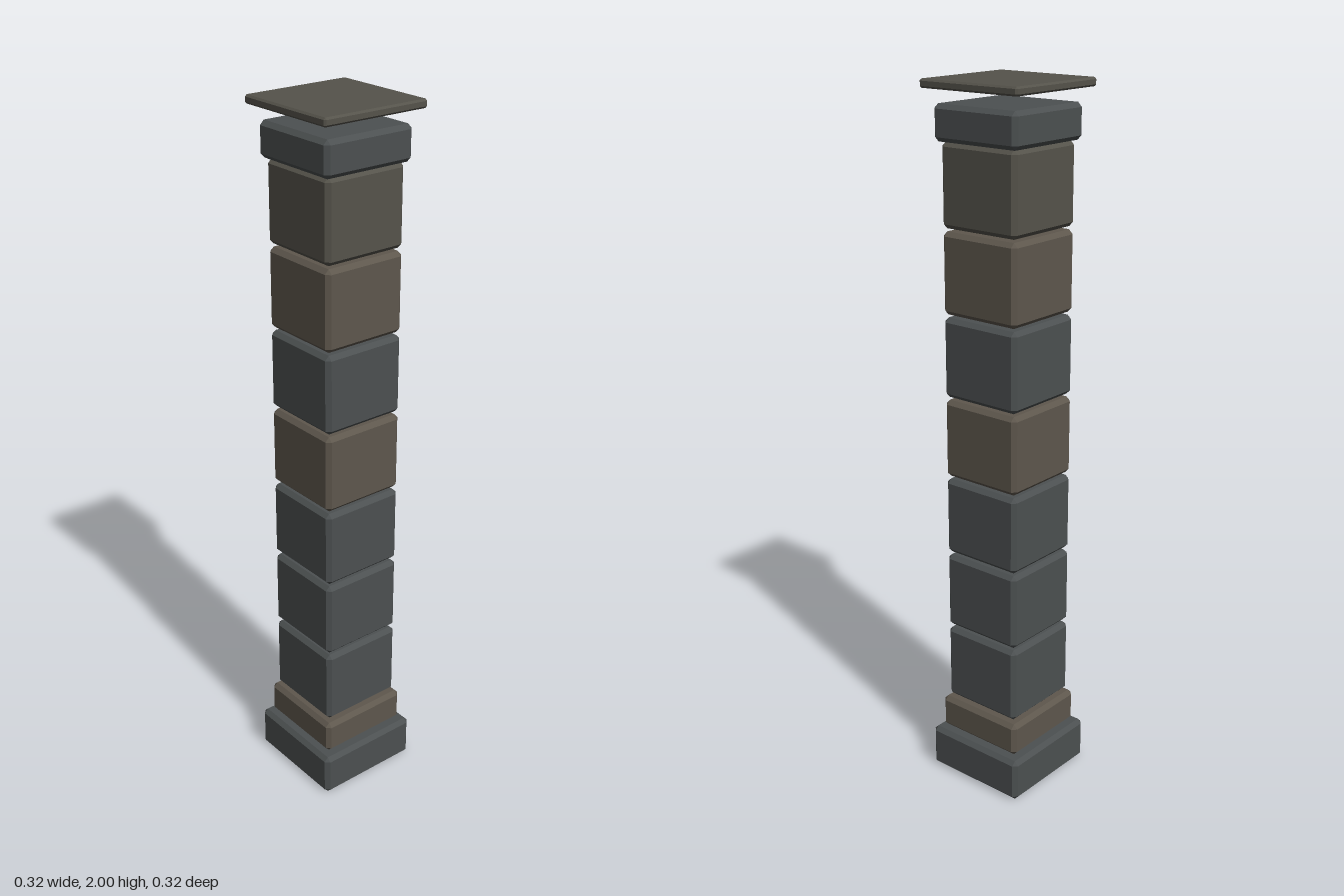
import * as THREE from 'three';
import { ConvexGeometry } from 'three/addons/geometries/ConvexGeometry.js';

const SLATE = 0x4c5051, WARM = 0x5e574d, OLIVE = 0x55534b;

// Square stone with every edge cut at 45 degrees
function chamferedBlock(width, height, c) {
  const a = width / 2, h = height / 2, points = [];
  for (const x of [-1, 1]) for (const y of [-1, 1]) for (const z of [-1, 1]) {
    points.push(
      new THREE.Vector3(x * a, y * (h - c), z * (a - c)),
      new THREE.Vector3(x * (a - c), y * h, z * (a - c)),
      new THREE.Vector3(x * (a - c), y * (h - c), z * a)
    );
  }
  return new ConvexGeometry(points);
}

export function createModel() {
  const group = new THREE.Group();

  function addStone(name, bottom, top, width, chamfer, color) {
    const material = new THREE.MeshStandardMaterial({ color, flatShading: true });
    const mesh = new THREE.Mesh(chamferedBlock(width, top - bottom, chamfer), material);
    mesh.position.y = (bottom + top) / 2;
    mesh.name = name;
    group.add(mesh);
  }

  // Stepped foot
  addStone('plinth', 0, 0.126, 0.32, 0.012, SLATE);
  addStone('baseCourse', 0.13, 0.228, 0.276, 0.012, WARM);

  // Shaft of equal blocks separated by thin joints
  const shaftColors = [SLATE, SLATE, SLATE, WARM, SLATE, WARM, OLIVE];
  shaftColors.forEach((color, i) => {
    const bottom = 0.234 + i * 0.2312;
    addStone('shaftBlock' + (i + 1), bottom, bottom + 0.223, 0.25, 0.012, color);
  });

  // Neck and floating cap slab
  addStone('neckCourse', 1.844, 1.939, 0.276, 0.012, SLATE);
  addStone('capSlab', 1.977, 2, 0.32, 0.005, OLIVE);

  return group;
}
